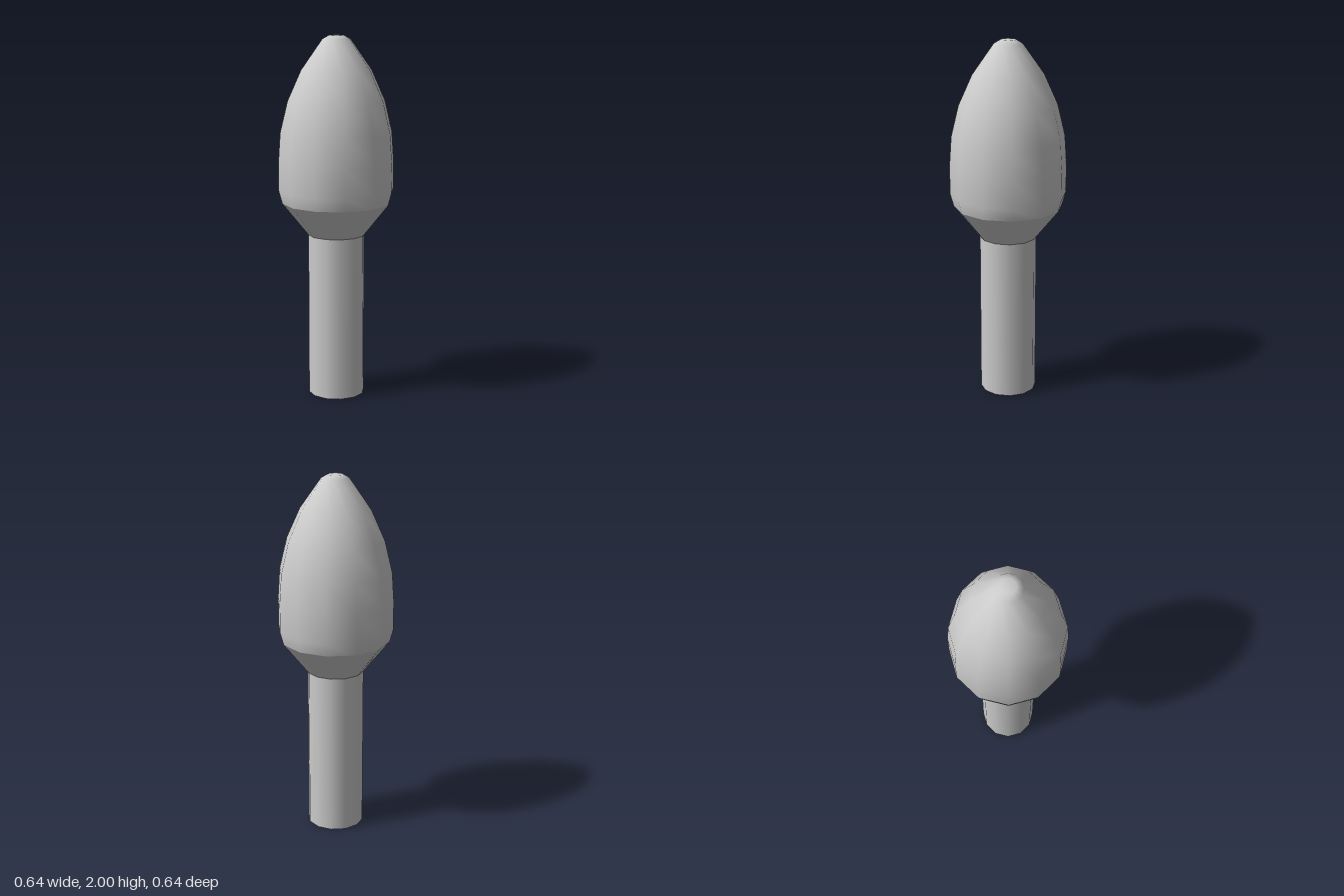
import * as THREE from 'three';

const SIDES = 12;

export function createModel() {
  const model = new THREE.Group();
  const grey = new THREE.MeshStandardMaterial({ color: 0xcccccc });
  grey.name = 'light grey';

  // Each part is a turned profile of [radius, height], listed from the bottom
  // outward and up; separate parts keep a sharp edge between them.
  const turn = (name, profile) => {
    const points = profile.map(([r, y]) => new THREE.Vector2(r, y));
    const mesh = new THREE.Mesh(new THREE.LatheGeometry(points, SIDES), grey);
    mesh.name = name;
    model.add(mesh);
  };

  // Handle with a shallow bevelled recess in its foot
  turn('recessFloor', [[0, 0.02], [0.108, 0.02]]);
  turn('recessBevel', [[0.108, 0.02], [0.125, 0]]);
  turn('footRim', [[0.125, 0], [0.156, 0]]);
  turn('handle', [[0.156, 0], [0.156, 0.91]]);

  // Flared collar
  turn('collar', [[0.156, 0.91], [0.3, 1.09]]);

  // Smooth bud-shaped head
  turn('head', [
    [0.3, 1.09], [0.319, 1.16], [0.319, 1.32], [0.308, 1.48], [0.267, 1.65],
    [0.193, 1.815], [0.077, 1.98], [0.042, 2], [0, 2],
  ]);

  return model;
}
